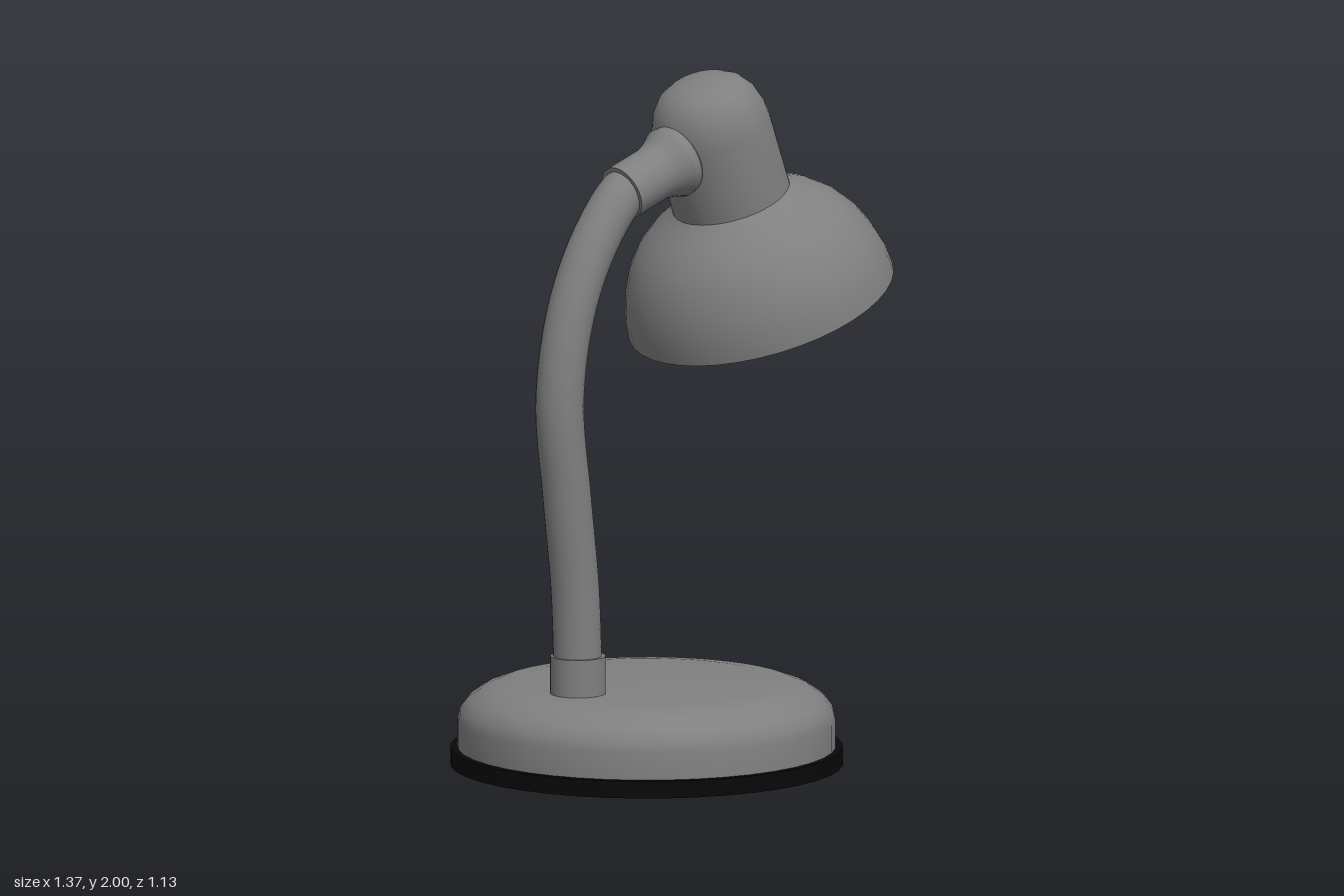
import * as THREE from 'three';
import { toCreasedNormals } from 'three/addons/utils/BufferGeometryUtils.js';

const TILT = 0.346; // lean of the lamp head

export function createModel() {
  const model = new THREE.Group();
  model.name = 'deskLamp';

  const grey = new THREE.MeshStandardMaterial({ color: 0x808080 });
  grey.name = 'grey enamel';
  const black = new THREE.MeshStandardMaterial({ color: 0x080808 });
  black.name = 'black rubber';

  const add = (name, geometry, material, parent = model) => {
    const mesh = new THREE.Mesh(geometry, material);
    mesh.name = name;
    parent.add(mesh);
    return mesh;
  };
  const lathe = (points, segments = 40) => toCreasedNormals(
    new THREE.LatheGeometry(points.map(([r, y]) => new THREE.Vector2(r, y)), segments), 0.6);

  // Base: rubber foot under a rounded weight
  const base = new THREE.Group();
  base.name = 'base';
  base.position.set(-0.125, 0, 0);
  model.add(base);
  add('foot', new THREE.CylinderGeometry(0.566, 0.566, 0.05, 40), black, base).position.y = 0.025;
  add('baseBody', lathe([
    [0.545, 0.04], [0.545, 0.13], [0.538, 0.16], [0.515, 0.19], [0.475, 0.217],
    [0.43, 0.233], [0.37, 0.24], [0, 0.242],
  ]), grey, base);

  // Arm: collar and bent tube
  const armZ = 0.01;
  add('collar', new THREE.CylinderGeometry(0.08, 0.08, 0.13, 32), grey).position.set(-0.4, 0.285, armZ);
  const path = new THREE.CatmullRomCurve3([
    [-0.4, 0.3], [-0.412, 0.55], [-0.443, 0.82], [-0.471, 1.1],
    [-0.43, 1.35], [-0.345, 1.54], [-0.23, 1.68], [-0.17, 1.705],
  ].map(([x, y]) => new THREE.Vector3(x, y, armZ)));
  add('arm', new THREE.TubeGeometry(path, 48, 0.07, 24), grey);

  // Swivel joint between the arm and the head
  const joint = add('swivelJoint', lathe([
    [0, 0], [0.081, 0], [0.081, 0.127], [0.087, 0.155], [0.097, 0.18],
    [0.107, 0.2], [0.104, 0.225], [0.08, 0.25], [0, 0.26],
  ], 32), grey);
  joint.position.set(-0.23, 1.683, armZ);
  joint.rotation.z = 0.33 - Math.PI / 2;

  // Head: double-walled shade with a bulb inside
  const head = new THREE.Group();
  head.name = 'lampHead';
  head.position.set(0.311, 1.297, 0.008);
  head.rotation.z = TILT;
  model.add(head);
  const outer = [
    [0.395, 0], [0.39, 0.06], [0.372, 0.124], [0.343, 0.19], [0.303, 0.245], [0.25, 0.292],
    [0.2, 0.322], [0.174, 0.342], [0.173, 0.56], [0.168, 0.605], [0.152, 0.652],
    [0.125, 0.688], [0.09, 0.71], [0.045, 0.719], [0, 0.721],
  ];
  const inner = outer.map(([r, y]) => [Math.max(r - 0.01, 0), y > 0 ? y - 0.01 : 0]).reverse();
  add('shade', lathe([...inner, ...outer]), grey, head);
  add('bulb', lathe([
    [0, 0.25], [0.04, 0.258], [0.075, 0.284], [0.096, 0.322], [0.1, 0.35], [0.093, 0.388],
    [0.07, 0.43], [0.055, 0.48], [0.055, 0.7],
  ], 28), grey, head);

  return model;
}
